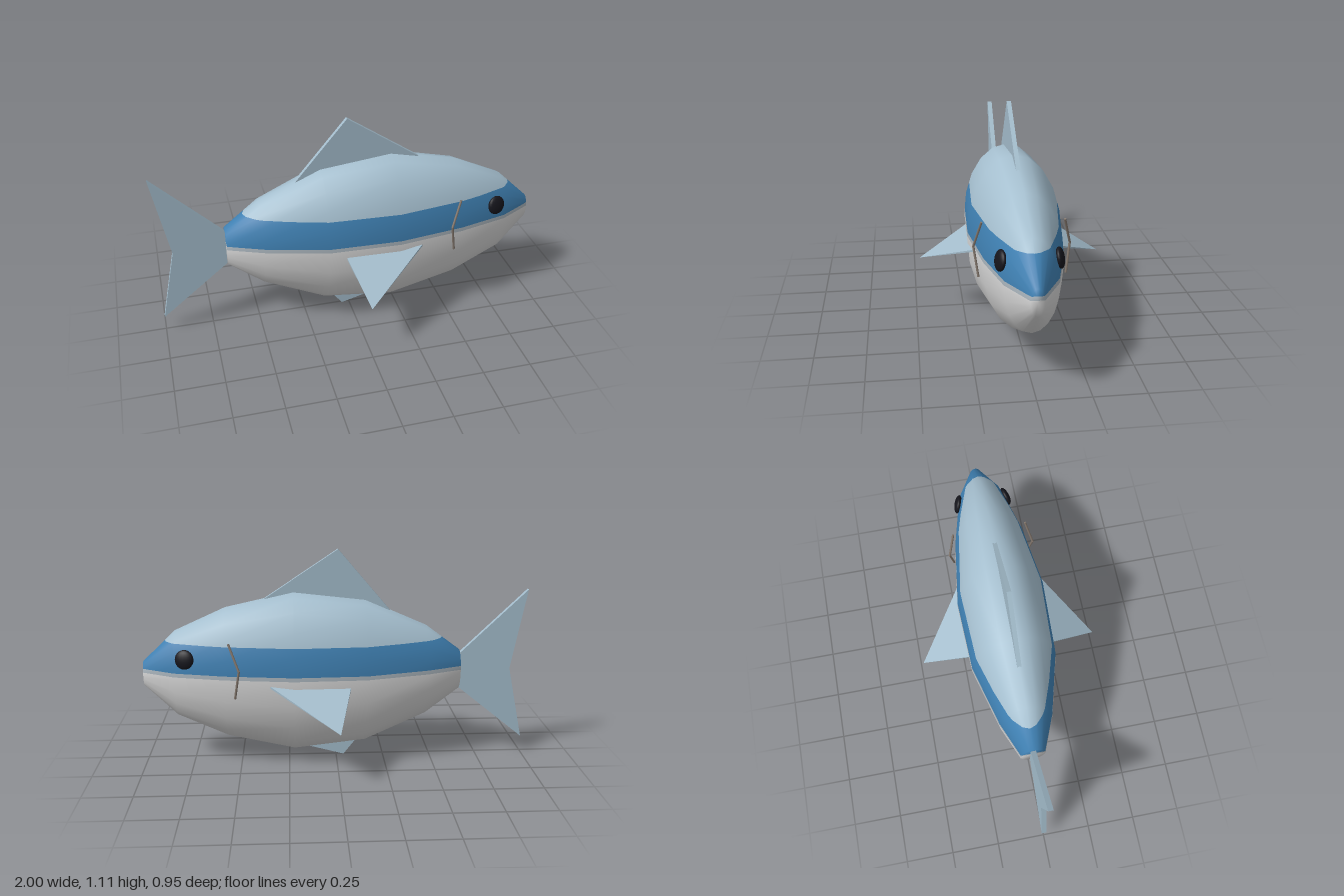
import * as THREE from 'three';

const mat = (name, color, side = THREE.FrontSide) => {
  const m = new THREE.MeshStandardMaterial({ color, side });
  m.name = name;
  return m;
};

const SIDES = 20, CENTRE_Y = 0.469;
// Body stations: x, half height, half width
const STATIONS = [
  [-0.65, 0.105, 0.066], [-0.47, 0.24, 0.14], [-0.15, 0.381, 0.225], [0.22, 0.424, 0.238],
  [0.57, 0.346, 0.19], [0.83, 0.228, 0.125], [1.0, 0.065, 0.032],
];

// Smooth loft of ellipses, closed at both ends
function bodyGeometry() {
  const pos = [], idx = [];
  for (const [x, h, w] of STATIONS) {
    for (let i = 0; i < SIDES; i++) {
      const a = (i / SIDES) * Math.PI * 2;
      pos.push(x, CENTRE_Y + h * Math.cos(a), w * Math.sin(a));
    }
  }
  const last = STATIONS.length - 1;
  const tail = pos.length / 3, nose = tail + 1;
  pos.push(STATIONS[0][0], CENTRE_Y, 0, STATIONS[last][0], CENTRE_Y, 0);
  for (let i = 0; i < SIDES; i++) {
    const j = (i + 1) % SIDES;
    for (let s = 0; s < last; s++) {
      const a = s * SIDES + i, b = s * SIDES + j, c = a + SIDES, d = b + SIDES;
      idx.push(a, b, c, b, d, c);
    }
    idx.push(tail, j, i, nose, last * SIDES + i, last * SIDES + j);
  }
  const g = new THREE.BufferGeometry();
  g.setAttribute('position', new THREE.Float32BufferAttribute(pos, 3));
  g.setIndex(idx);
  g.computeVertexNormals();
  return g.toNonIndexed();
}

// Keep the part of a polygon where sign * (y - level) >= 0
function clip(poly, level, sign) {
  const out = [];
  poly.forEach((a, i) => {
    const b = poly[(i + 1) % poly.length];
    const da = sign * (a[1] - level), db = sign * (b[1] - level);
    if (da >= 0) out.push(a);
    if (da * db < 0) out.push(a.map((v, k) => v + (b[k] - v) * da / (da - db)));
  });
  return out;
}

// Slice of a geometry between two heights, keeping its smooth normals
function slice(geo, low, high) {
  const p = geo.attributes.position.array, n = geo.attributes.normal.array;
  const pos = [], nor = [];
  for (let t = 0; t < p.length; t += 9) {
    const tri = [0, 3, 6].map(o => [...p.slice(t + o, t + o + 3), ...n.slice(t + o, t + o + 3)]);
    const poly = clip(clip(tri, low, 1), high, -1);
    for (let i = 1; i < poly.length - 1; i++) {
      for (const v of [poly[0], poly[i], poly[i + 1]]) {
        pos.push(v[0], v[1], v[2]);
        nor.push(v[3], v[4], v[5]);
      }
    }
  }
  const g = new THREE.BufferGeometry();
  g.setAttribute('position', new THREE.Float32BufferAttribute(pos, 3));
  g.setAttribute('normal', new THREE.Float32BufferAttribute(nor, 3));
  return g;
}

// Flat upright fin centred on z = 0
function finGeometry(points, depth) {
  const shape = new THREE.Shape(points.map(([x, y]) => new THREE.Vector2(x, y)));
  return new THREE.ExtrudeGeometry(shape, { depth, bevelEnabled: false }).translate(0, 0, -depth / 2);
}

// Straight round bar between two points
function bar(a, b, radius, material) {
  const dir = b.clone().sub(a);
  const m = new THREE.Mesh(new THREE.CylinderGeometry(radius, radius, dir.length() + radius, 6), material);
  m.position.copy(a).add(b).multiplyScalar(0.5);
  m.quaternion.setFromUnitVectors(new THREE.Vector3(0, 1, 0), dir.normalize());
  return m;
}

export function createModel() {
  const model = new THREE.Group();
  model.name = 'fish';
  const back = mat('pale blue back', 0xa6c0d0);
  const stripe = mat('blue stripe', 0x3f80b2);
  const edge = mat('grey stripe edge', 0xa9b4bc);
  const belly = mat('light belly', 0xd6d6d6);
  const fin = mat('fin blue grey', 0xa3bccb, THREE.DoubleSide);
  const black = mat('eye black', 0x15151c);
  const gillMat = mat('gill grey', 0x85796f);

  const add = (name, geometry, material) => {
    const m = new THREE.Mesh(geometry, material);
    m.name = name;
    model.add(m);
    return m;
  };

  // Body in horizontal colour bands
  const body = bodyGeometry();
  add('belly', slice(body, -1, 0.48), belly);
  add('stripeEdge', slice(body, 0.48, 0.5), edge);
  add('stripe', slice(body, 0.5, 0.645), stripe);
  add('back', slice(body, 0.645, 2), back);

  // Upright fins
  add('dorsalFin', finGeometry([[-0.31, 0.755], [0.37, 0.857], [-0.01, 1.11]], 0.022), fin);
  add('tailFin', finGeometry([[-1, 0.893], [-0.92, 0.47], [-1, 0.085], [-0.63, 0.385], [-0.63, 0.535]], 0.026), fin);
  add('ventralFin', finGeometry([[-0.13, 0.115], [-0.04, 0], [0.2, 0.065]], 0.02), fin);

  for (const side of [1, -1]) {
    const label = side > 0 ? 'left' : 'right';

    // Side fin: thin wedge, thick at the root and pointed at the tip
    const tip = [0, 0.285, 0.475 * side];
    const rear = [-0.072, 0.452, 0.194 * side], front = [0.38, 0.467, 0.189 * side];
    const shift = ([x, y, z], d) => [x, y + d, z];
    const up = [shift(rear, 0.006), shift(front, 0.006)];
    const down = [shift(rear, -0.006), shift(front, -0.006)];
    const faces = [tip, up[1], up[0], tip, down[0], down[1], tip, up[0], down[0], tip, down[1], up[1]];
    if (side < 0) {
      for (let i = 0; i < faces.length; i += 3) [faces[i + 1], faces[i + 2]] = [faces[i + 2], faces[i + 1]];
    }
    const g = new THREE.BufferGeometry();
    g.setAttribute('position', new THREE.Float32BufferAttribute(faces.flat(), 3));
    g.computeVertexNormals();
    add(label + 'SideFin', g, fin);

    // Eye
    const eye = add(label + 'Eye', new THREE.SphereGeometry(0.05, 16, 12), black);
    eye.scale.set(1, 1, 0.4);
    eye.position.set(0.773, 0.575, 0.133 * side);
    eye.rotation.set(-0.2 * side, 0.25 * side, 0);

    // Gill line
    const gill = new THREE.Group();
    gill.name = label + 'Gill';
    const path = [[0.545, 0.668, 0.195], [0.495, 0.535, 0.229], [0.518, 0.392, 0.209]]
      .map(([x, y, z]) => new THREE.Vector3(x, y, z * side));
    for (let i = 0; i < 2; i++) gill.add(bar(path[i], path[i + 1], 0.006, gillMat));
    model.add(gill);
  }
  return model;
}
